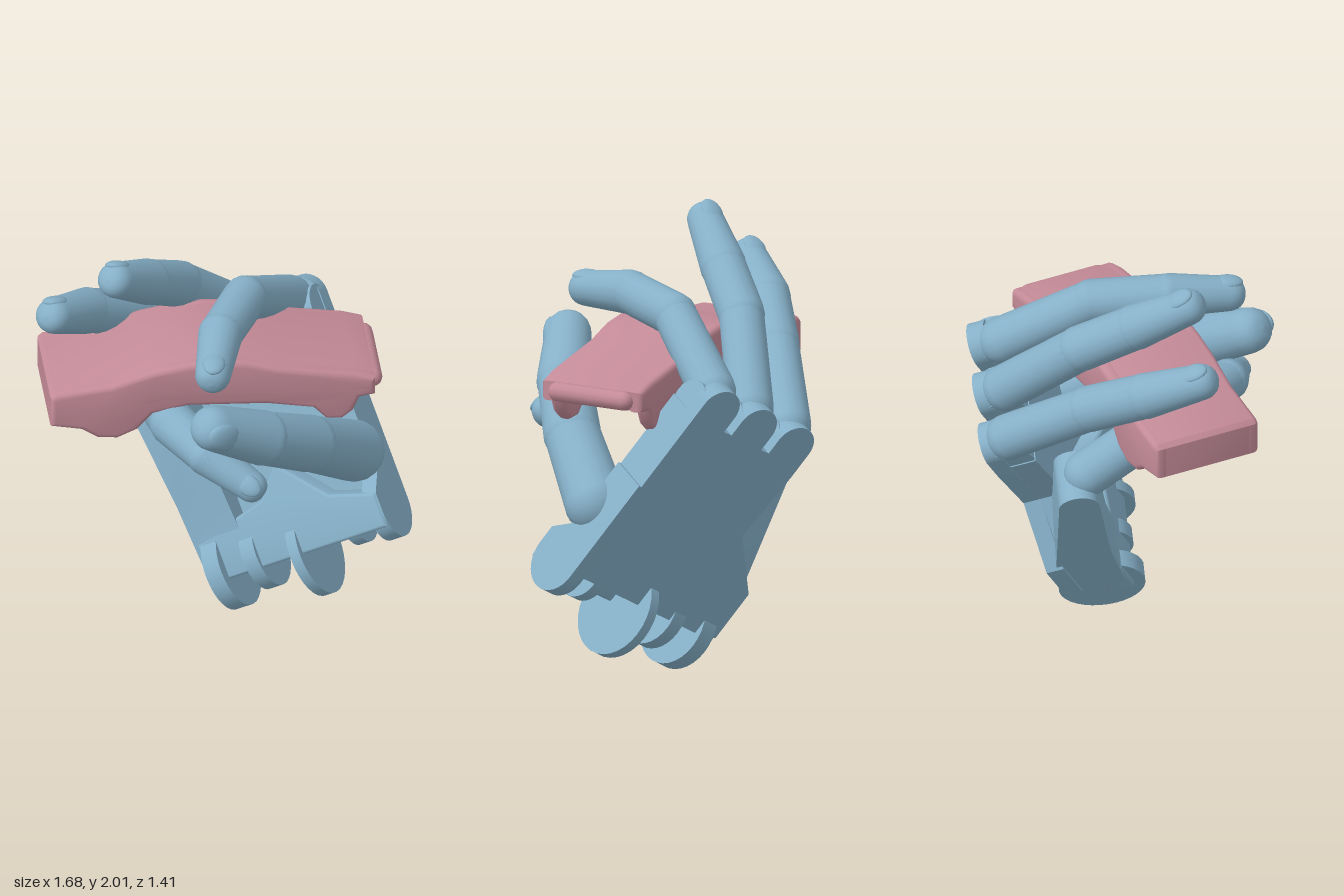
import * as THREE from 'three';
import { toCreasedNormals } from 'three/addons/utils/BufferGeometryUtils.js';

const V = (p) => new THREE.Vector3(...p);
const skin = new THREE.MeshStandardMaterial({ color: 0x86b0c8 });
const rose = new THREE.MeshStandardMaterial({ color: 0xc48b98 });

function add(parent, name, geometry, material = skin) {
  const mesh = new THREE.Mesh(geometry, material);
  mesh.name = name;
  parent.add(mesh);
  return mesh;
}

function polygon(points) {
  return new THREE.Shape(points.map(([x, y]) => new THREE.Vector2(x, y)));
}

function extrude(shape, depth, bevel = 0) {
  const geo = new THREE.ExtrudeGeometry(shape, {
    depth: depth - 2 * bevel, curveSegments: 12, bevelEnabled: bevel > 0,
    bevelSize: bevel, bevelThickness: bevel, bevelOffset: -bevel, bevelSegments: 3,
  });
  geo.translate(0, 0, bevel);
  return toCreasedNormals(geo, 0.6);
}

// Tapered finger section between two points, with slightly blunt round ends
function limb(parent, name, a, b, ra, rb) {
  const dir = b.clone().sub(a), len = dir.length(), pts = [];
  for (let i = 0; i <= 6; i++) {
    const t = (i / 6) * Math.PI / 2;
    pts.push(new THREE.Vector2(ra * Math.sin(t), -ra * Math.cos(t)));
  }
  for (let i = 0; i <= 6; i++) {
    const t = (i / 6) * Math.PI / 2;
    pts.push(new THREE.Vector2(rb * Math.pow(Math.cos(t), 0.8), len + rb * Math.sin(t)));
  }
  pts[pts.length - 1].x = 0;
  const mesh = add(parent, name, new THREE.LatheGeometry(pts, 18));
  mesh.position.copy(a);
  mesh.quaternion.setFromUnitVectors(new THREE.Vector3(0, 1, 0), dir.normalize());
}

// Jointed finger with a nail on the side given by "up"
function finger(parent, name, path, radii, up) {
  const group = new THREE.Group();
  group.name = name;
  parent.add(group);
  const p = path.map(V);
  for (let i = 0; i < p.length - 1; i++) {
    limb(group, name + 'Section' + (i + 1), p[i], p[i + 1], radii[i], radii[i + 1] * 0.97);
  }
  const tip = p[p.length - 1], r = radii[radii.length - 1];
  const dir = tip.clone().sub(p[p.length - 2]).normalize();
  const side = dir.clone().cross(V(up)).normalize();
  const normal = side.clone().cross(dir);
  const nail = add(group, name + 'Nail', new THREE.SphereGeometry(1, 16, 10));
  nail.quaternion.setFromRotationMatrix(new THREE.Matrix4().makeBasis(side, dir, normal));
  nail.scale.set(r * 0.62, r * 0.85, r * 0.3);
  nail.position.copy(tip).addScaledVector(normal, r * 0.74).addScaledVector(dir, -r * 0.05);
}

// Palm frame: x across to the thumb side, y to the fingers, z out of the palm
function buildPalm(root) {
  const palm = new THREE.Group();
  palm.name = 'palm';
  palm.quaternion.setFromRotationMatrix(new THREE.Matrix4().makeBasis(
    V([0.83, 0.47, 0.30]), V([-0.30, 0.80, -0.52]), V([-0.484, 0.342, 0.805])));
  palm.position.set(0.41, 0.743, -0.266);
  root.add(palm);

  // Back plate with three rounded knuckle lugs
  const plate = polygon([[-0.37, 0.45], [-0.35, 0.1], [-0.6, -0.13], [-0.6, -0.38], [-0.56, -0.4], [0.33, -0.4], [0.33, 0.58]]);
  for (const x of [0.23, -0.02, -0.27]) {
    plate.absarc(x, 0.58, 0.1, 0, Math.PI, false);
    plate.lineTo(x - 0.1, 0.44);
    if (x > -0.2) plate.lineTo(x - 0.15, 0.44);
  }
  add(palm, 'backPlate', extrude(plate, 0.08));

  // Thick body of the palm
  const body = polygon([[0.33, -0.4], [0.33, 0.5], [-0.37, 0.5], [-0.35, 0.1], [-0.58, -0.13], [-0.58, -0.4]]);
  add(palm, 'palmBody', extrude(body, 0.2));

  // Finger sockets on the front of the lugs
  for (const x of [0.23, -0.02, -0.27]) {
    const socket = add(palm, 'fingerSocket', new THREE.CylinderGeometry(0.1, 0.1, 0.19, 20));
    socket.rotation.z = Math.PI / 2;
    socket.position.set(x, 0.53, 0.1);
  }

  // Raised heel of the hand
  const heel = polygon([[0.34, -0.49], [0.34, -0.33], [0.12, -0.27], [-0.08, -0.06], [-0.2, -0.2], [-0.58, -0.3], [-0.58, -0.49]]);
  add(palm, 'palmHeel', extrude(heel, 0.14, 0.015)).position.z = 0.155;

  // Side walls: rounded wrist end by the thumb, sloped bracket for the little finger
  const thumbWall = polygon([[0.29, -0.42], [0.29, -0.33], [0.2, -0.25], [0.2, 0.1], [0, 0.1], [0, -0.42]]);
  thumbWall.absarc(0.145, -0.42, 0.145, Math.PI, Math.PI * 2, false);
  const bracket = polygon([[0, -0.4], [0.28, -0.4], [0.32, -0.1], [0.43, 0.36]]);
  bracket.absarc(0.34, 0.38, 0.09, 0, Math.PI * 0.9, false);
  bracket.lineTo(0.02, -0.2);
  for (const [name, shape, x, w] of [['thumbSideWall', thumbWall, 0.345, 0.075], ['littleFingerBracket', bracket, -0.35, 0.24]]) {
    add(palm, name, extrude(shape, w).rotateY(-Math.PI / 2)).position.x = x;
  }
  // Tab joining the bracket to the palm
  add(palm, 'bracketTab', new THREE.BoxGeometry(0.22, 0.13, 0.06)).position.set(-0.34, 0, 0.2);

  // Wrist lugs and the larger middle disc
  for (const [x, y, z, r, w] of [[0.15, -0.41, 0.15, 0.13, 0.06],
    [-0.12, -0.49, 0.11, 0.22, 0.05], [-0.34, -0.43, 0.15, 0.17, 0.07], [-0.52, -0.445, 0.155, 0.195, 0.08]]) {
    const lug = add(palm, 'wristLug', new THREE.CylinderGeometry(r, r, w, 32));
    lug.rotation.z = Math.PI / 2;
    lug.position.set(x, y, z);
  }
}

// Toy vehicle body: solid upper part with thin sides reaching down to the wheels
function buildVehicle(root) {
  const car = new THREE.Group();
  car.name = 'heldVehicle';
  root.add(car);
  const roof = [[0.64, 1.41], [0.55, 1.44], [0.2, 1.5], [0.06, 1.545], [-0.08, 1.56], [-0.22, 1.55],
    [-0.36, 1.525], [-0.55, 1.465], [-0.8, 1.44], [-0.82, 1.42]];
  const sill = [[-0.82, 1.27], [-0.68, 1.24], [-0.61, 1.19], [-0.52, 1.18], [-0.43, 1.22], [-0.36, 1.3],
    [-0.2, 1.33], [0.15, 1.31], [0.36, 1.27], [0.42, 1.205], [0.49, 1.2], [0.54, 1.24], [0.57, 1.31], [0.64, 1.32]];
  const under = [[-0.82, 1.27], [-0.68, 1.27], [-0.3, 1.35], [0.2, 1.33], [0.5, 1.33], [0.64, 1.33]];
  add(car, 'vehicleBody', extrude(polygon([...roof, ...under]), 0.51, 0.03), rose).position.z = -0.21;
  for (const z of [-0.215, 0.225]) {
    add(car, 'vehicleSide', extrude(polygon([...roof, ...sill]), 0.075, 0.025), rose).position.z = z;
  }
  const bumper = add(car, 'vehicleBumper', new THREE.CapsuleGeometry(0.045, 0.34, 6, 12), rose);
  bumper.rotation.x = Math.PI / 2;
  bumper.position.set(0.635, 1.365, 0.045);
}

export function createModel() {
  const root = new THREE.Group();
  root.name = 'handHoldingVehicle';
  buildPalm(root);
  finger(root, 'indexFinger', [[0.34, 1.38, -0.41], [0.1, 1.635, -0.08], [-0.05, 1.665, 0.23], [-0.115, 1.635, 0.49]],
    [0.105, 0.1, 0.1, 0.083], [0, 1, 0.3]);
  finger(root, 'middleFinger', [[0.14, 1.27, -0.49], [-0.17, 1.6, -0.27], [-0.34, 1.76, -0.08], [-0.5, 1.91, 0.1]],
    [0.105, 0.105, 0.105, 0.085], [-0.3, 1, 0]);
  finger(root, 'ringFinger', [[-0.06, 1.15, -0.57], [-0.38, 1.42, -0.33], [-0.6, 1.57, -0.16], [-0.77, 1.69, 0.03]],
    [0.105, 0.105, 0.105, 0.085], [-0.3, 1, 0]);
  finger(root, 'littleFinger', [[-0.28, 1.0, -0.29], [-0.27, 1.23, 0.27], [-0.14, 1.19, 0.48], [0.04, 1.09, 0.6]],
    [0.105, 0.105, 0.095, 0.075], [0.3, 0.2, 1]);
  finger(root, 'thumb', [[0.57, 0.855, 0.06], [0.34, 1.09, 0.31], [0.11, 1.26, 0.48], [-0.12, 1.41, 0.59]],
    [0.14, 0.13, 0.125, 0.108], [-0.3, 0.4, 1]);
  buildVehicle(root);
  return root;
}
